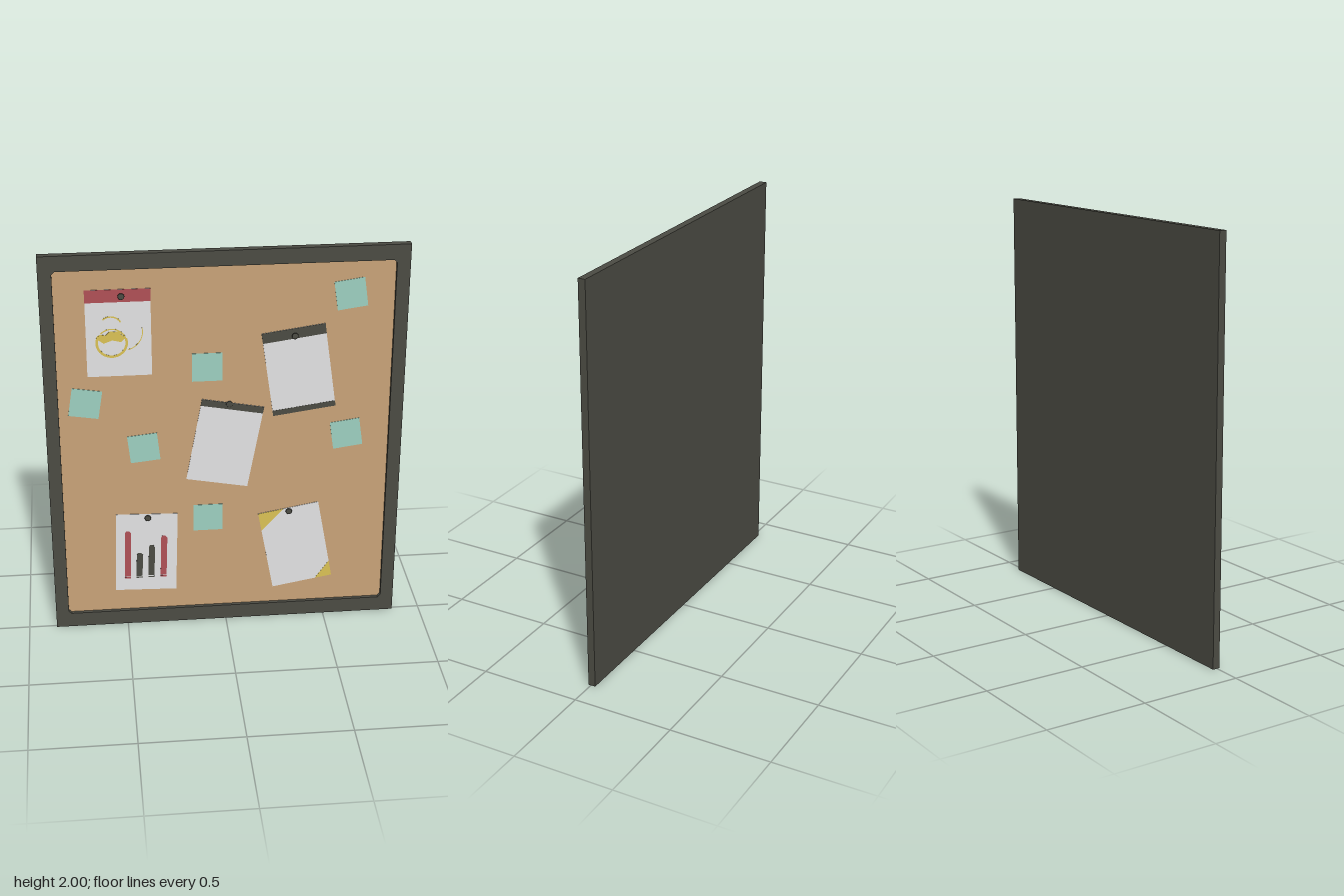
import * as THREE from 'three';

const mat = (name, color) => {
  const m = new THREE.MeshStandardMaterial({ color });
  m.name = name;
  return m;
};

export function createModel() {
  const M = {
    frame: mat('dark frame', 0x4b4b43),
    cork: mat('cork', 0xc8a378),
    paper: mat('paper', 0xe2e2e4),
    teal: mat('teal note', 0x9dd0c0),
    red: mat('red', 0xb05056),
    yellow: mat('yellow', 0xdac255),
  };
  const root = new THREE.Group();
  root.name = 'pinboard';
  const BACK = -0.023, FRONT = 0.013, CORK = -0.005, SHEET = 0.002;

  const add = (parent, name, geo, material, x = 0, y = 0, z = 0) => {
    const mesh = new THREE.Mesh(geo, material);
    mesh.name = name;
    mesh.position.set(x, y, z);
    parent.add(mesh);
    return mesh;
  };
  // Thin plate whose back face rests on z
  const plate = (parent, name, material, w, h, x, y, z = 0, t = SHEET) =>
    add(parent, name, new THREE.BoxGeometry(w, h, t), material, x, y, z + t / 2);
  // Thin plate cut from any outline
  const cutout = (parent, name, material, shape, x, y, z) =>
    add(parent, name, new THREE.ExtrudeGeometry(shape, { depth: 0.0008, bevelEnabled: false, curveSegments: 20 }), material, x, y, z);
  const polygon = (pts) => new THREE.Shape(pts.map(([x, y]) => new THREE.Vector2(x, y)));

  // Frame with a chamfered-corner opening
  const outer = polygon([[-0.862, 0], [0.862, 0], [0.862, 2], [-0.862, 2]]);
  const L = 0.798, B = 0.077, T = 1.924, c = 0.014;
  outer.holes.push(new THREE.Path([
    [-L, B + c], [-L, T - c], [-L + c, T], [L - c, T], [L, T - c], [L, B + c], [L - c, B], [-L + c, B],
  ].map(([x, y]) => new THREE.Vector2(x, y))));
  add(root, 'frame', new THREE.ExtrudeGeometry(outer, { depth: FRONT - BACK - 0.008, bevelEnabled: false }), M.frame, 0, 0, BACK + 0.008);
  plate(root, 'backPanel', M.frame, 1.724, 2, 0, 1, BACK, 0.008);
  plate(root, 'corkSheet', M.cork, 1.61, 1.86, 0, 1, BACK + 0.008, CORK - BACK - 0.008);

  // Square sticky notes: x, y, tilt in degrees
  [[0.591, 1.757, 8], [-0.087, 1.41, 0], [-0.67, 1.245, -9], [-0.397, 0.994, 6], [0.591, 1.025, 8], [-0.087, 0.591, 0]]
    .forEach(([x, y, a]) => {
      plate(root, 'stickyNote', M.teal, 0.145, 0.145, x, y, CORK).rotation.z = THREE.MathUtils.degToRad(a);
    });

  // Paper sheets, each in its own tilted group
  const W = 0.305, H = 0.438, TOP = SHEET;
  const sheet = (name, x, y, a) => {
    const g = new THREE.Group();
    g.name = name;
    g.position.set(x, y, CORK);
    g.rotation.z = THREE.MathUtils.degToRad(a);
    plate(g, 'paper', M.paper, W, H, 0, 0);
    root.add(g);
    return g;
  };
  const strip = (g, name, material, h, side) =>
    plate(g, name, material, W + 0.001, h, 0, side * (H - h) / 2, TOP, 0.0008);

  // Stained sheet with a red header
  const stained = sheet('stainedSheet', -0.501, 1.603, 0);
  strip(stained, 'redHeader', M.red, 0.063, 1);
  const arc = (r, width, from, to) => {
    const s = new THREE.Shape();
    s.absarc(0, 0, r, from, to, false);
    s.absarc(0, 0, r - width, to, from, true);
    return s;
  };
  [
    [-0.033, -0.048, 0.076, 0.012, 2.6, 6.6],
    [-0.033, -0.048, 0.072, 0.006, 0.3, 2.4],
    [0.018, 0.005, 0.096, 0.004, -1.3, 0.2],
    [-0.036, 0.03, 0.057, 0.007, 0.5, 2.3],
  ].forEach(([x, y, r, w, f, t]) => cutout(stained, 'stainRing', M.yellow, arc(r, w, f, t), x, y, TOP));
  cutout(stained, 'stainBlob', M.yellow, polygon([
    [-0.105, -0.025], [-0.07, -0.05], [-0.03, -0.035], [0.01, -0.045], [0.035, -0.02], [0.015, -0.01],
    [0.005, 0.012], [-0.02, 0.008], [-0.04, 0.012], [-0.06, -0.008], [-0.09, -0.005],
  ]), 0, 0, TOP + 0.0003);

  // Sheets with dark bands
  const banded = sheet('bandedSheet', 0.352, 1.375, 8);
  strip(banded, 'topBand', M.frame, 0.052, 1);
  strip(banded, 'bottomBand', M.frame, 0.028, -1);
  const headed = sheet('headedSheet', -0.003, 1.0, -10.5);
  strip(headed, 'topBand', M.frame, 0.035, 1);

  // Bar chart sheet: x, bottom, top, colour
  const chart = sheet('chartSheet', -0.397, 0.407, -1.7);
  [[-0.093, 0.123, M.red], [-0.034, -0.004, M.frame], [0.026, 0.04, M.frame], [0.087, 0.094, M.red]].forEach(([x, top, m], i) => {
    const bottom = -0.15 + i * 0.002, w = 0.015;
    cutout(chart, 'chartBar', m, polygon([
      [-w, bottom + 0.01], [w, bottom + 0.01], [w + 0.001, top - 0.012], [w * 0.4, top], [-w * 0.6, top], [-w, top - 0.012],
    ]), x, 0, TOP);
    plate(chart, 'chartBarFoot', m, w * 2.1, 0.007, x, bottom + 0.002, TOP, 0.0008);
  });

  // Sheet with yellow corners
  const corners = sheet('cornerSheet', 0.352, 0.407, 10.2);
  const hw = W / 2, hh = H / 2;
  cutout(corners, 'topCorner', M.yellow, polygon([[-hw, hh], [-hw, hh - 0.1], [-hw + 0.13, hh]]), 0, 0, TOP);
  cutout(corners, 'bottomCorner', M.yellow, polygon([[hw, -hh], [hw, -hh + 0.085], [hw - 0.085, -hh]]), 0, 0, TOP);

  // Push pins turned on a lathe: x, y, height of the head above z = 0
  [[-0.485, 1.795, 0.023], [0.327, 1.563, 0.023], [0.018, 1.213, 0.004], [-0.387, 0.609, 0.011], [0.315, 0.609, 0.011]]
    .forEach(([x, y, z]) => {
      const len = z - CORK;
      const profile = [[0.007, 0], [0.007, len - 0.006], [0.016, len - 0.005], [0.016, len - 0.001], [0.014, len], [0, len]]
        .map(([r, h]) => new THREE.Vector2(r, h));
      add(root, 'pushPin', new THREE.LatheGeometry(profile, 12), M.frame, x, y, CORK).rotation.x = Math.PI / 2;
    });

  return root;
}
